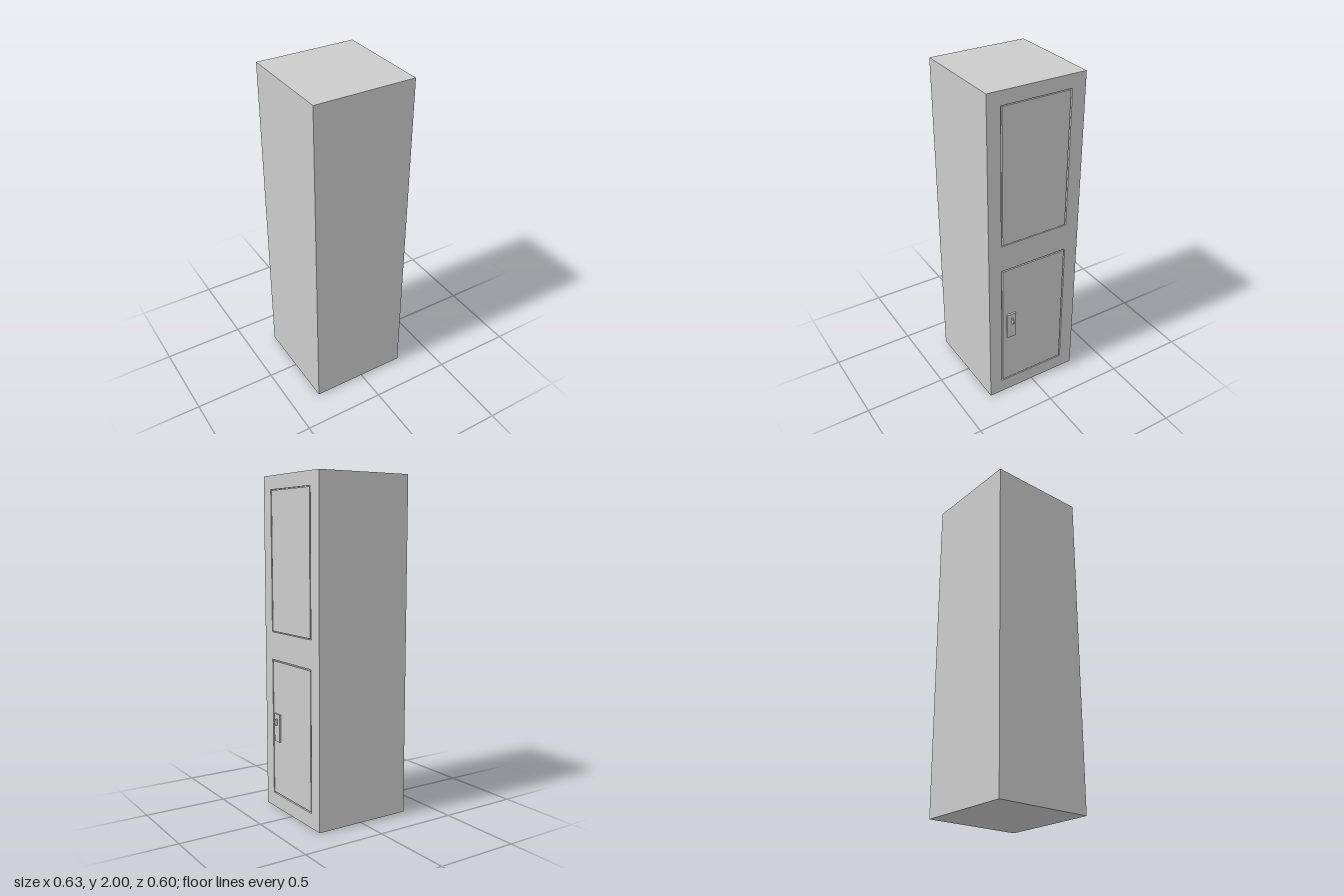
import * as THREE from 'three';

const FRONT = 0.285, BACK = -0.317, HALF = 0.301, HEIGHT = 2, DEPTH = 0.012;
const DOOR = { z0: -0.216, z1: 0.219 };
const DOORS = [
  { name: 'lowerDoor', y0: 0.087, y1: 0.92, gapZ: 0.008, gapY: 0.008 },
  { name: 'upperDoor', y0: 1.087, y1: 1.92, gapZ: 0.009, gapY: 0.005 },
];

export function createModel() {
  const group = new THREE.Group();
  const material = new THREE.MeshStandardMaterial({ color: 0xcccccc });

  const add = (name, geometry) => {
    const mesh = new THREE.Mesh(geometry, material);
    mesh.name = name;
    group.add(mesh);
    return mesh;
  };
  // Box given by its limits on each axis
  const box = (name, x0, x1, y0, y1, z0, z1) =>
    add(name, new THREE.BoxGeometry(x1 - x0, y1 - y0, z1 - z0))
      .position.set((x0 + x1) / 2, (y0 + y1) / 2, (z0 + z1) / 2);
  const rectangle = (PathType, x0, x1, y0, y1) =>
    new PathType([[x0, y0], [x1, y0], [x1, y1], [x0, y1]].map(([x, y]) => new THREE.Vector2(x, y)));

  // Cabinet carcass
  box('cabinetBody', BACK, FRONT - DEPTH, 0, HEIGHT, -HALF, HALF);

  // Face frame with two door openings, turned to face +x
  const frame = rectangle(THREE.Shape, -HALF, HALF, 0, HEIGHT);
  for (const d of DOORS) frame.holes.push(rectangle(THREE.Path, -DOOR.z1, -DOOR.z0, d.y0, d.y1));
  const frameGeometry = new THREE.ExtrudeGeometry(frame, { depth: DEPTH, bevelEnabled: false });
  frameGeometry.rotateY(Math.PI / 2);
  add('faceFrame', frameGeometry).position.x = FRONT - DEPTH;

  // Flush doors, with a narrow groove left around each
  for (const d of DOORS) {
    box(d.name, FRONT - DEPTH, FRONT, d.y0 + d.gapY, d.y1 - d.gapY, DOOR.z0 + d.gapZ, DOOR.z1 - d.gapZ);
  }

  // Lock plate and the thin round key standing in it
  box('lockPlate', FRONT, 0.296, 0.425, 0.595, 0.127, 0.185);
  const key = new THREE.CylinderGeometry(0.021, 0.021, 0.007, 24);
  key.rotateX(Math.PI / 2);
  add('key', key).position.set(0.296, 0.546, 0.155);

  return group;
}
